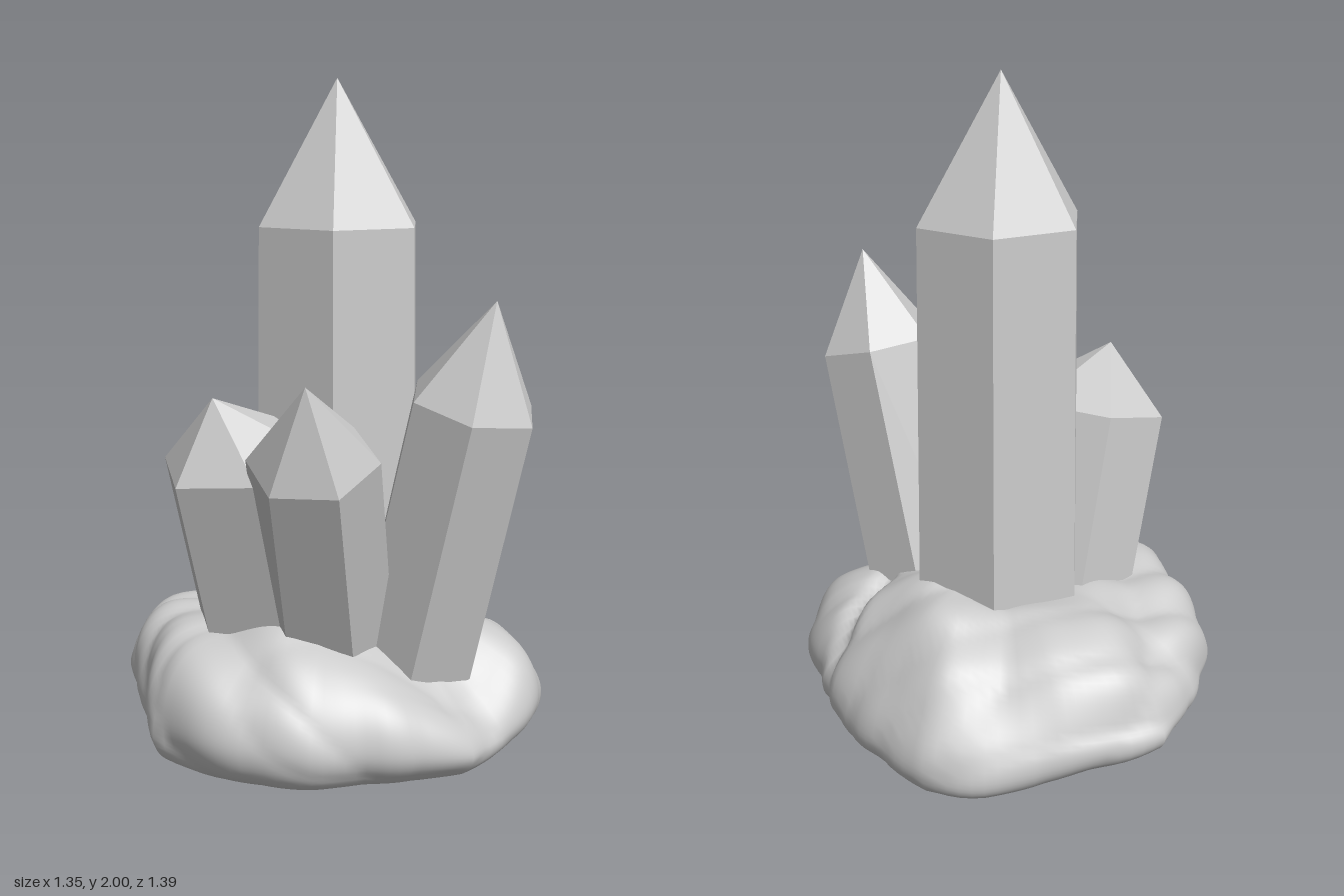
import * as THREE from 'three';
import { mergeVertices } from 'three/addons/utils/BufferGeometryUtils.js';
import { ConvexGeometry } from 'three/addons/geometries/ConvexGeometry.js';

const V = (x, y, z) => new THREE.Vector3(x, y, z);
const step = THREE.MathUtils.smoothstep;

// Six-sided crystal: base ring, shoulder ring square to the axis, and a tip
function crystal(name, base, shoulder, tip, rBase, rTop, phase, material) {
  const axis = shoulder.clone().sub(base).normalize();
  const q = new THREE.Quaternion().setFromUnitVectors(V(0, 1, 0), axis);
  const points = [tip];
  for (const [centre, r] of [[base, rBase], [shoulder, rTop]]) {
    for (let i = 0; i < 6; i++) {
      const a = phase + i * Math.PI / 3;
      points.push(V(r * Math.sin(a), 0, r * Math.cos(a)).applyQuaternion(q).add(centre));
    }
  }
  const mesh = new THREE.Mesh(new ConvexGeometry(points), material);
  mesh.name = name;
  return mesh;
}

// Rock radius and rim height, every 15 degrees from +x towards +z
const RADII = [.645, .605, .605, .61, .655, .64, .63, .64, .605, .6, .63, .635,
  .665, .69, .62, .615, .655, .66, .665, .725, .695, .68, .705, .715];
const HEIGHTS = [.48, .47, .43, .4, .38, .35, .25, .23, .29, .34, .38, .4,
  .4, .4, .4, .4, .39, .38, .37, .38, .39, .41, .44, .46];

function around(table, angle) {
  const n = table.length;
  const t = ((angle / (2 * Math.PI)) % 1 + 1) % 1 * n;
  const i = Math.floor(t), f = t - i;
  return table[i % n] * (1 - f) + table[(i + 1) % n] * f;
}

// Smooth lumps plus sharp creases
function rough(x, y, z) {
  const lumps = Math.sin(9 * x + 3 * z + 1) * Math.sin(8 * z - 4 * y)
    + 0.6 * Math.sin(19 * x - 7 * y) * Math.sin(17 * z + 9 * y + 2);
  const creases = Math.abs(Math.sin(5 * x + 4 * z + 6 * y))
    + 0.6 * Math.abs(Math.sin(11 * z - 8 * x + 9 * y + 1)) - 1;
  return 0.012 * lumps + 0.02 * creases;
}

function rockGeometry() {
  const profile = [[0, 0], [.4, 0], [.72, .01], [.87, .05], [.96, .17], [1, .36], [.98, .57],
    [.92, .76], [.82, .91], [.68, 1], [.5, 1.04], [.3, 1.02], [0, 1]];
  const curve = new THREE.SplineCurve(profile.map(([s, h]) => new THREE.Vector2(s, h)));
  const points = curve.getPoints(60).map(p => new THREE.Vector2(Math.max(p.x, 0), Math.max(p.y, 0)));
  let geo = new THREE.LatheGeometry(points, 120);
  const pos = geo.attributes.position;
  for (let i = 0; i < pos.count; i++) {
    const x0 = pos.getX(i), z0 = pos.getZ(i), h = pos.getY(i);
    const a = Math.atan2(z0, x0);
    let s = Math.hypot(x0, z0);
    // Long straight slope on the +x side, widest near the ground
    const side = Math.max(0, Math.cos(a)) ** 2;
    s *= 1 + side * (0.12 - 0.43 * h) * step(s, 0.1, 0.7);
    const r = s * around(RADII, a);
    const top = THREE.MathUtils.lerp(0.41, around(HEIGHTS, a), Math.min(1, s * 1.2));
    const x = r * Math.cos(a), z = r * Math.sin(a);
    // Underside rises towards the back
    const y = h * top + 0.06 * step(-z, 0.3, 0.68) * Math.max(0, 1 - 2 * h);
    const n = rough(x, y, z);
    // Crack that sets off the front lobe
    const crack = 0.035 * Math.exp(-(((z - 0.34) / 0.03) ** 2)) * step(x, 0.1, 0.2);
    const k = 1 + (n * 1.2 - crack) * step(s, 0, 0.6);
    pos.setXYZ(i, x * k, Math.max(0, y + (n * 1.2 - crack) * step(h, 0.1, 0.9)), z * k);
  }
  // Weld the seam so shading stays smooth
  geo.deleteAttribute('uv');
  geo.deleteAttribute('normal');
  geo = mergeVertices(geo, 1e-4);
  geo.computeVertexNormals();
  return geo;
}

export function createModel() {
  const group = new THREE.Group();
  group.name = 'crystalCluster';
  const stone = new THREE.MeshStandardMaterial({ color: 0xcccccc });
  stone.name = 'paleGrey';

  const rock = new THREE.Mesh(rockGeometry(), stone);
  rock.name = 'rockBase';
  group.add(rock);

  const deg = Math.PI / 180;
  group.add(
    crystal('mainCrystal', V(.037, .1, -.003), V(.032, 1.57, .002), V(.035, 2, -.008), .282, .263, 1.5 * deg, stone),
    crystal('frontCrystal', V(.012, .18, .27), V(-.018, 1.085, .506), V(-.027, 1.385, .58), .203, .195, 0, stone),
    crystal('sideCrystal', V(-.105, .2, .08), V(-.41, .952, .226), V(-.53, 1.185, .29), .192, .19, 27 * deg, stone),
    crystal('backCrystal', V(-.15, .2, -.085), V(-.325, .91, -.096), V(-.425, 1.095, -.12), .235, .248, 18 * deg, stone)
  );
  return group;
}
